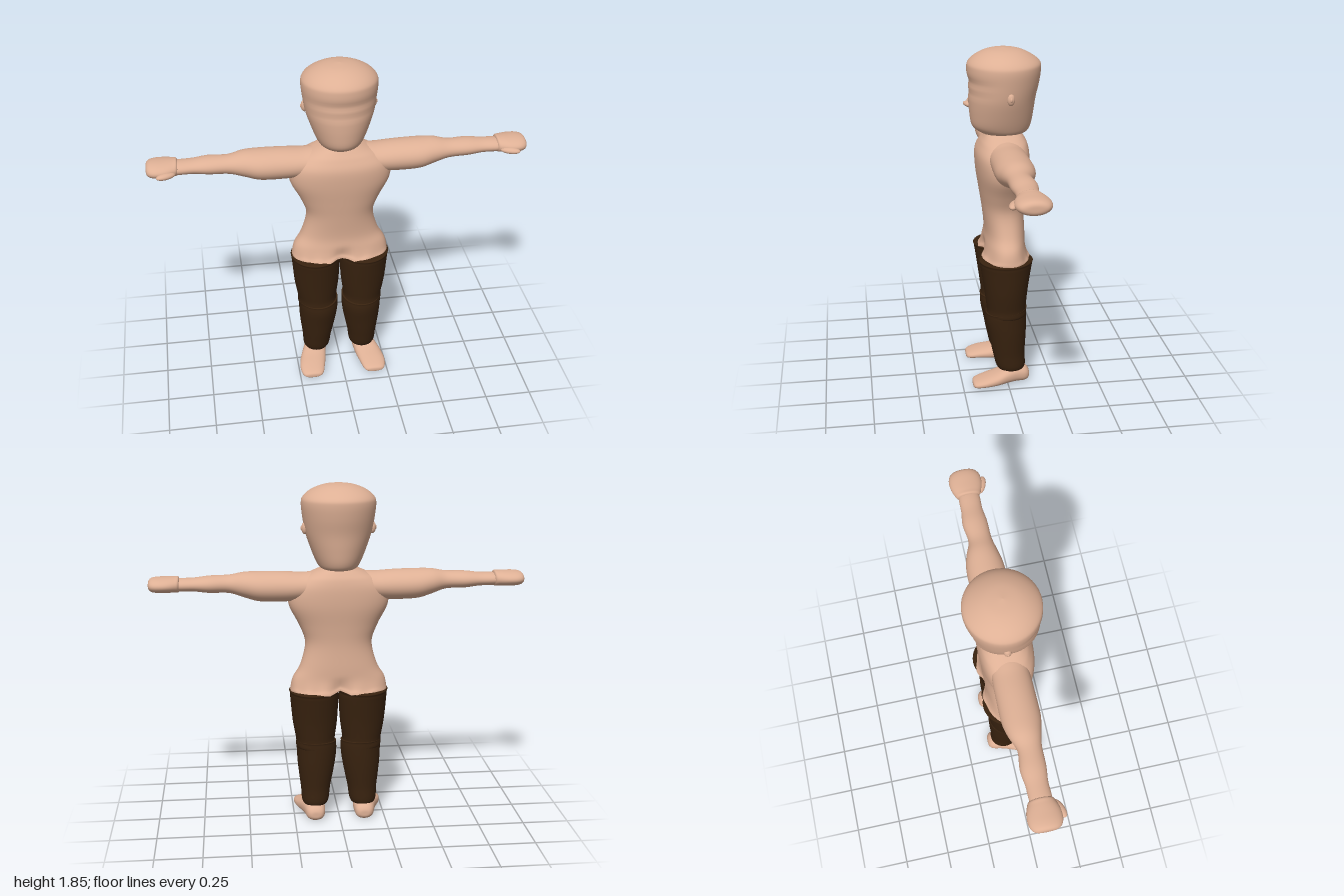
import * as THREE from 'three';

const skin = new THREE.MeshStandardMaterial({ color: 0xdeb095 });
skin.name = 'skin';
const cloth = new THREE.MeshStandardMaterial({ color: 0x38220f });
cloth.name = 'darkTrousers';

// The two directions that span the rings around each axis
const RING = { x: ['y', 'z'], y: ['z', 'x'], z: ['x', 'y'] };

// Smooth loft of rounded rings along an axis.
// Each section is [position, centreA, radiusA, centreB, radiusB].
function loft(axis, sections, { steps = 5, sides = 40, power = 2, shape } = {}) {
  const [A, B] = RING[axis];
  const at = (i) => sections[Math.max(0, Math.min(sections.length - 1, i))];
  const spline = (a, b, c, d, t) =>
    b + 0.5 * t * (c - a + t * (2 * a - 5 * b + 4 * c - d + t * (3 * (b - c) + d - a)));
  const bend = (v) => Math.sign(v) * Math.abs(v) ** (2 / power);
  const rings = (sections.length - 1) * steps;
  const pos = [], index = [], p = new THREE.Vector3();
  for (let r = 0; r <= rings; r++) {
    const k = Math.floor(r / steps), t = r / steps - k;
    const s = at(k).map((v, c) => spline(at(k - 1)[c], v, at(k + 1)[c], at(k + 2)[c], t));
    for (let j = 0; j < sides; j++) {
      const a = (j / sides) * Math.PI * 2;
      p[axis] = s[0];
      p[A] = s[1] + Math.max(0, s[2]) * bend(Math.cos(a));
      p[B] = s[3] + Math.max(0, s[4]) * bend(Math.sin(a));
      if (shape) shape(p);
      pos.push(p.x, p.y, p.z);
      if (r === rings) continue;
      const i0 = r * sides + j, i1 = r * sides + (j + 1) % sides;
      index.push(i0, i1, i1 + sides, i0, i1 + sides, i0 + sides);
    }
  }
  const g = new THREE.BufferGeometry();
  g.setAttribute('position', new THREE.Float32BufferAttribute(pos, 3));
  g.setIndex(index);
  g.computeVertexNormals();
  return g;
}

// Ellipsoid placed and turned
function blob(radii, centre, turnY = 0) {
  return new THREE.SphereGeometry(1, 24, 16).scale(...radii).rotateY(turnY).translate(...centre);
}

// Reflected copy across x = 0 with its corner order restored
function mirrored(geometry) {
  const g = geometry.clone().scale(-1, 1, 1), a = g.index.array;
  for (let i = 0; i < a.length; i += 3) [a[i], a[i + 1]] = [a[i + 1], a[i]];
  return g;
}

const bump = (v, centre, width) => Math.exp(-(((v - centre) / width) ** 2));

export function createModel() {
  const model = new THREE.Group();
  model.name = 'figure';
  const add = (name, geometry, material) => {
    const mesh = new THREE.Mesh(geometry, material);
    mesh.name = name;
    model.add(mesh);
  };
  const addPair = (name, geometry, material) => {
    add('left' + name, geometry, material);
    add('right' + name, mirrored(geometry), material);
  };

  // Head: tapered towards the chin, with shallow brow folds in front
  add('head', loft('y', [
    [1.405, 0, 0, 0, 0], [1.405, 0, 0.09, 0, 0.07], [1.415, 0, 0.125, 0, 0.1],
    [1.45, 0.01, 0.155, 0, 0.122], [1.52, 0.01, 0.168, 0, 0.15], [1.6, 0.007, 0.176, 0, 0.176],
    [1.68, 0, 0.187, 0, 0.19], [1.75, -0.003, 0.193, 0, 0.197], [1.785, -0.003, 0.185, 0, 0.187],
    [1.82, 0, 0.14, 0, 0.145], [1.845, 0, 0.08, 0, 0.08], [1.855, 0, 0, 0, 0],
  ], {
    sides: 48,
    shape: (p) => {
      if (p.z > 0) p.z *= 1 - 0.05 * bump(p.y, 1.685, 0.025) - 0.035 * bump(p.y, 1.63, 0.02);
    },
  }), skin);

  // Ears with a small raised centre
  addPair('Ear', blob([0.018, 0.032, 0.02], [0.178, 1.622, -0.015]), skin);
  addPair('EarCentre', blob([0.006, 0.012, 0.007], [0.194, 1.622, -0.015]), skin);

  // Torso: narrow waist, flared uneven hem, crease between the hips
  add('torso', loft('y', [
    [0.735, 0, 0, 0, 0], [0.728, 0, 0.125, 0, 0.24], [0.735, 0, 0.137, 0, 0.262],
    [0.76, 0, 0.122, 0, 0.261], [0.81, 0, 0.11, 0, 0.248], [0.88, -0.003, 0.106, 0, 0.208],
    [1.0, 0.005, 0.111, 0, 0.18], [1.1, 0.008, 0.123, 0, 0.212], [1.21, 0.008, 0.138, 0, 0.266],
    [1.3, 0.008, 0.14, 0, 0.262], [1.355, 0.002, 0.125, 0, 0.21], [1.385, 0, 0.108, 0, 0.15],
    [1.41, 0, 0.09, 0, 0.092], [1.425, 0, 0.07, 0, 0.07], [1.425, 0, 0, 0, 0],
  ], {
    sides: 72, power: 2.25,
    shape: (p) => {
      const low = 1 - THREE.MathUtils.smoothstep(p.y, 0.72, 0.84);
      const crease = low * bump(p.x, 0, 0.05);
      p.z *= 1 - 0.3 * crease;
      p.y += 0.02 * crease + 0.005 * low * Math.sin(p.x * 70 + p.z * 40);
    },
  }), skin);

  // Arms, held straight out
  addPair('Arm', loft('x', [
    [0.08, 1.315, 0, 0, 0], [0.1, 1.315, 0.068, 0, 0.085], [0.2, 1.312, 0.074, 0, 0.097],
    [0.3, 1.312, 0.08, 0, 0.1], [0.42, 1.315, 0.079, 0, 0.1], [0.5, 1.325, 0.067, 0, 0.084],
    [0.58, 1.33, 0.048, 0.006, 0.062], [0.68, 1.331, 0.045, 0, 0.066],
    [0.76, 1.331, 0.036, 0, 0.057], [0.86, 1.33, 0.031, 0.002, 0.052], [0.87, 1.33, 0, 0, 0],
  ]), skin);

  // Mitten hands and thumbs
  addPair('Hand', loft('x', [
    [0.838, 1.334, 0, 0, 0], [0.84, 1.334, 0.038, 0, 0.055], [0.865, 1.334, 0.041, 0, 0.073],
    [0.91, 1.334, 0.041, 0, 0.086], [0.955, 1.334, 0.04, 0, 0.085],
    [0.985, 1.334, 0.034, 0, 0.07], [0.998, 1.334, 0.02, 0, 0.045], [1, 1.334, 0, 0, 0],
  ]), skin);
  addPair('Thumb', blob([0.053, 0.017, 0.024], [0.9, 1.325, 0.08], -0.4), skin);

  // Trouser legs: thigh and calf, with a tilted seam at the knee
  addPair('Thigh', loft('y', [
    [0.4, 0, 0, 0.125, 0], [0.405, 0, 0.1, 0.125, 0.1], [0.46, 0.002, 0.107, 0.128, 0.107],
    [0.56, 0.004, 0.118, 0.13, 0.122], [0.68, 0.004, 0.135, 0.132, 0.131],
    [0.72, 0.004, 0.14, 0.134, 0.132], [0.738, 0.004, 0.132, 0.134, 0.124], [0.738, 0.004, 0, 0.134, 0],
  ]), cloth);
  addPair('Calf', loft('y', [
    [0.085, -0.025, 0, 0.133, 0], [0.085, -0.025, 0.072, 0.133, 0.066],
    [0.18, -0.012, 0.088, 0.13, 0.082], [0.3, -0.004, 0.103, 0.125, 0.101],
    [0.38, 0.002, 0.111, 0.122, 0.109], [0.43, 0.003, 0.111, 0.123, 0.109],
    [0.443, 0.002, 0.102, 0.124, 0.1], [0.443, 0.002, 0, 0.124, 0],
  ], { shape: (p) => { p.y -= 0.11 * p.z * THREE.MathUtils.smoothstep(p.y, 0.25, 0.43); } }), cloth);

  // Feet: sloping from the ankle to a rounded toe
  addPair('Foot', loft('z', [
    [-0.125, 0.135, 0, 0.04, 0], [-0.122, 0.135, 0.03, 0.042, 0.022],
    [-0.1, 0.136, 0.05, 0.046, 0.042], [-0.05, 0.14, 0.06, 0.053, 0.049],
    [0, 0.149, 0.067, 0.05, 0.046], [0.06, 0.163, 0.073, 0.039, 0.036],
    [0.12, 0.174, 0.071, 0.032, 0.028], [0.17, 0.177, 0.061, 0.024, 0.021],
    [0.192, 0.177, 0.042, 0.02, 0.014], [0.196, 0.177, 0, 0.02, 0],
  ], { power: 2.3, shape: (p) => { p.y = Math.max(0, p.y); } }), skin);

  return model;
}
